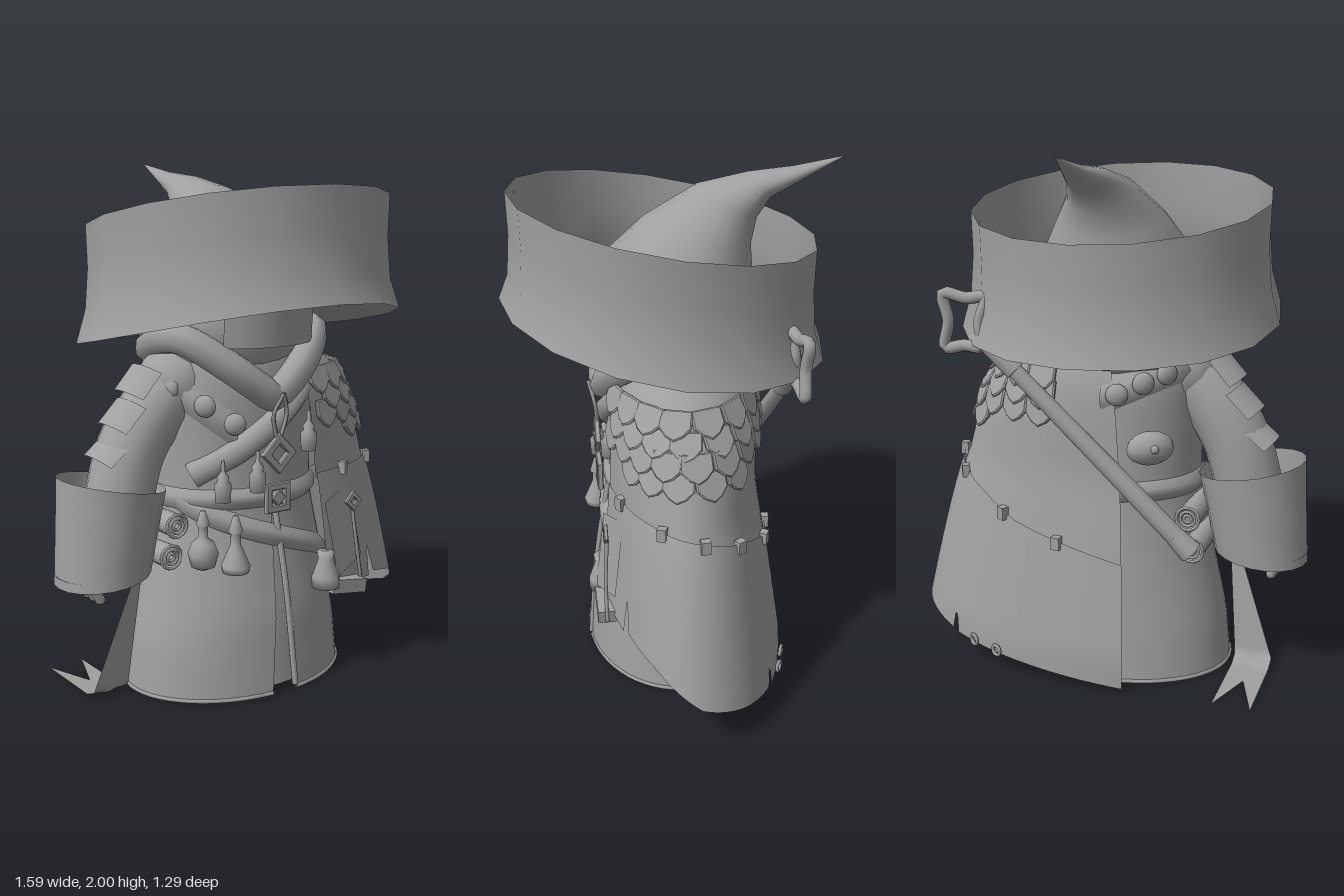
import * as THREE from 'three';

const cloth = new THREE.MeshStandardMaterial({ color: 0xa0a0a0, side: THREE.DoubleSide });
cloth.name = 'grey';
const V = (x, y, z) => new THREE.Vector3(x, y, z);
const rad = THREE.MathUtils.degToRad;

// linear lookup in a table of [key, value] pairs with rising keys
function look(table, k) {
  for (let i = 1; i < table.length; i++) {
    const [a, b] = [table[i - 1], table[i]];
    if (k <= b[0]) return THREE.MathUtils.lerp(a[1], b[1], Math.max(0, (k - a[0]) / (b[0] - a[0])));
  }
  return table[table.length - 1][1];
}

// smooth sheet through f(u, v), optionally joined around u
function sheet(nu, nv, f, closed = false) {
  const pos = [], idx = [], cols = closed ? nu : nu + 1;
  for (let j = 0; j <= nv; j++) for (let i = 0; i < cols; i++) pos.push(...f(i / nu, j / nv).toArray());
  for (let j = 0; j < nv; j++) for (let i = 0; i < nu; i++) {
    const a = j * cols + i, b = j * cols + (i + 1) % cols;
    idx.push(a, a + cols, b, b, a + cols, b + cols);
  }
  const g = new THREE.BufferGeometry();
  g.setAttribute('position', new THREE.Float32BufferAttribute(pos, 3));
  g.setIndex(idx);
  g.computeVertexNormals();
  return g;
}

const tube = (pts, r, closed = false, n = 24, sides = 8) =>
  new THREE.TubeGeometry(new THREE.CatmullRomCurve3(pts.map(p => V(...p)), closed), n, r, sides, closed);
const lathe = (pts, n = 12) => new THREE.LatheGeometry(pts.map(p => new THREE.Vector2(...p)), n);
function plate(pts, depth, bevel = 0, hole) {
  const s = new THREE.Shape(pts.map(p => new THREE.Vector2(...p)));
  if (hole) s.holes.push(new THREE.Path(hole.map(p => new THREE.Vector2(...p))));
  return new THREE.ExtrudeGeometry(s, { depth, bevelEnabled: bevel > 0, bevelSize: bevel, bevelThickness: bevel, bevelSegments: 1 });
}
const square = s => [[-s, -s], [s, -s], [s, s], [-s, s]];

// robe: half widths by height, centred on x = -0.03
const CX = -0.03;
const robeX = [[0, 0.465], [0.2, 0.445], [0.4, 0.4], [0.75, 0.33], [1.2, 0.34], [1.3, 0.3], [1.42, 0.16]];
const robeF = [[0, 0.355], [0.3, 0.335], [0.7, 0.26], [1.15, 0.25], [1.3, 0.22], [1.42, 0.14]];
const robeB = [[0, 0.34], [0.3, 0.32], [0.7, 0.295], [1.15, 0.29], [1.3, 0.24], [1.42, 0.14]];
function robeAt(a, y, off = 0) {
  const c = Math.cos(a), rz = look(c > 0 ? robeF : robeB, y);
  return V(CX + Math.sin(a) * (look(robeX, y) + off), y, c * (rz + off));
}
// point on the front of the robe above a given x
const frontAt = (x, y, off) => robeAt(Math.asin(THREE.MathUtils.clamp((x - CX) / look(robeX, y), -1, 1)), y, off);

// mantle over the left shoulder, and the skirt cape below it
const manX = [[0.5, 0.7], [0.7, 0.645], [0.8, 0.603], [0.9, 0.575], [1.05, 0.525], [1.2, 0.44], [1.34, 0.28]];
const manZ = [[0.5, 0.33], [0.8, 0.282], [1.1, 0.275], [1.2, 0.26], [1.34, 0.2]];
const mantleAt = (a, y, off = 0) => V(Math.sin(a) * (look(manX, y) + off), y,
  Math.cos(a) * (look(manZ, y) + off + (Math.cos(a) < 0 ? 0.03 : 0)));
const capeTop = [[0, 0.82], [60, 0.82], [95, 0.79], [125, 0.73], [140, 0.68], [155, 0.61], [193, 0.5]];
const capeLow = [[17, 0.37], [39, 0.34], [41, 0.47], [43, 0.35], [60, 0.31], [75, 0.25], [90, 0.19], [120, 0.13], [134, 0.1], [135.5, 0.2], [137, 0.09], [193, 0.02]];

export function createModel() {
  const root = new THREE.Group();
  const add = (name, geo, p, target) => {
    const m = new THREE.Mesh(geo, cloth);
    m.name = name;
    if (p) m.position.set(...(p.isVector3 ? p.toArray() : p));
    if (target) m.lookAt(target);
    root.add(m);
    return m;
  };

  // hat brim: wide bowl with an upright wall, lifted at the front, rim drooping at the sides
  const tilt = g => {
    const p = g.attributes.position;
    for (let i = 0; i < p.count; i++) {
      const droop = p.getY(i) < 1.45 ? 0.03 * (p.getX(i) / 0.6) ** 2 : 0;
      p.setY(i, p.getY(i) + 0.18 * p.getZ(i) - droop);
    }
    return g;
  };
  const hat = [CX, 0, 0.035];
  add('hatWall', tilt(lathe([[0.615, 1.4], [0.578, 1.5], [0.566, 1.65], [0.57, 1.81]], 16)), hat);
  add('hatBrim', tilt(lathe([[0.28, 1.51], [0.42, 1.48], [0.615, 1.4]], 16)), hat);
  add('hatBand', tilt(new THREE.TorusGeometry(0.335, 0.038, 8, 24).rotateX(Math.PI / 2).scale(1, 1, 0.92).translate(0, 1.53, 0)), [CX, 0, 0]);

  // crown: rings [frontZ, frontY, backZ, backY, halfWidth] bending to the back
  const crown = [[0.28, 1.5, -0.31, 1.43, 0.3], [0.25, 1.66, -0.3, 1.58, 0.285], [0.11, 1.79, -0.29, 1.7, 0.21],
    [-0.09, 1.91, -0.31, 1.79, 0.13], [-0.28, 1.95, -0.36, 1.86, 0.085], [-0.45, 1.967, -0.46, 1.91, 0.048], [-0.635, 2, -0.635, 1.998, 0.002]];
  add('hatCrown', sheet(20, 6, (u, v) => {
    const [fz, fy, bz, by, w] = crown[Math.round(v * 6)], c = Math.cos(u * 2 * Math.PI);
    return V(CX + w * Math.sin(u * 2 * Math.PI), (fy + by) / 2 + c * (fy - by) / 2, (fz + bz) / 2 + c * (fz - bz) / 2);
  }, true));

  // hood, face cloth and cowl
  add('hood', new THREE.SphereGeometry(1, 24, 16).scale(0.33, 0.27, 0.3), [-0.05, 1.38, -0.04]);
  add('faceCloth', sheet(8, 2, (u, v) => {
    const a = (u - 0.5) * 1.5;
    return V(CX + 0.3 * Math.sin(a), 1.33 + 0.2 * v, 0.03 + (0.28 + 0.02 * v) * Math.cos(a));
  }));
  add('cowl', tube([[CX, 1.14, 0.265], [0.02, 1.17, 0.265], [0.14, 1.26, 0.23], [0.27, 1.36, 0.12], [0.29, 1.35, 0], [0.23, 1.29, -0.17], [CX, 1.27, -0.25],
    [-0.29, 1.29, -0.17], [-0.35, 1.35, 0], [-0.33, 1.36, 0.12], [-0.2, 1.26, 0.23], [-0.08, 1.17, 0.265]], 0.06, true, 64));

  // robe with a front slit, and a lining inside
  add('robe', sheet(48, 24, (u, v) => {
    const y = 1.42 * v, gap = y < 0.75 ? rad(7 * (1 - y / 0.75)) : 0;
    return robeAt(gap + u * (2 * Math.PI - 2 * gap), y);
  }));
  add('robeLining', sheet(32, 8, (u, v) => robeAt(u * 2 * Math.PI, 0.02 + 0.8 * v, -0.035), true));
  add('robeHem', tube(Array.from({ length: 25 }, (_, i) => robeAt(rad(7 + i * 346 / 24), 0.008).toArray()), 0.008, false, 60, 5));
  const onFront = (name, pts, r, off) => add(name, tube(pts.map(p => frontAt(p[0], p[1], off).toArray()), r, false, 24, 8));
  onFront('robeFold', [[0.26, 1.28], [0.1, 1.13], [-0.13, 0.97], [-0.31, 0.85]], 0.05, 0);
  onFront('robeEdge', [[-0.02, 0.74], [0.0, 0.4], [0.02, 0.02]], 0.012, 0);

  // belts and chest strap
  const strap = (name, path, h) => add(name, sheet(40, 3, (u, v) => {
    const [a, y] = path(u);
    return robeAt(a, y + h * (v - 0.5), v === 0 || v === 1 ? 0 : 0.022);
  }));
  strap('belt', u => [u * 2 * Math.PI, 0.76], 0.08);
  strap('hangingBelt', u => [rad(-70 + 125 * u), 0.76 - 0.27 * u], 0.085);
  strap('chestStrap', u => [rad(-175 + 150 * u), 1.12 + 0.16 * Math.sin(u * Math.PI) - 0.1 * u], 0.13);
  const out = (p, name, geo, spin = 0) => {
    const m = add(name, geo, p, V(CX + (p.x - CX) * 3, p.y, p.z * 3));
    m.rotateZ(spin);
    return m;
  };
  out(frontAt(CX, 0.76, 0.03), 'buckle', plate(square(0.052), 0.015, 0.004, square(0.034)));
  out(frontAt(CX, 0.76, 0.03), 'buckleHeart', plate(square(0.02), 0.015, 0.004), Math.PI / 4);
  out(frontAt(CX, 0.93, 0.04), 'brooch', plate(square(0.052), 0.015, 0.004, square(0.03)), Math.PI / 4);
  [-1, 1].forEach(s => add('broochCord', tube([[CX, 1.16, 0.33], [CX + 0.03 * s, 1.08, 0.31], [CX + 0.01 * s, 0.99, 0.3]], 0.008, false, 12, 5)));
  const medallion = new THREE.SphereGeometry(0.042, 14, 8).scale(1, 1, 0.6);
  [[-0.35, 1.18], [-0.27, 1.12], [-0.18, 1.05]].forEach(([x, y]) => out(frontAt(x, y, 0.025), 'medallion', medallion));
  [[-165, 1.14], [-150, 1.18], [-135, 1.21]].forEach(([d, y]) => out(robeAt(rad(d), y, 0.025), 'backMedallion', medallion));

  // charms and flasks hanging from the belts
  const charm = lathe([[0, -0.07], [0.03, -0.065], [0.033, 0], [0.02, 0.015], [0.024, 0.03], [0.008, 0.05], [0.006, 0.09], [0, 0.09]], 10);
  [[0.12, 0.98], [-0.22, 0.83], [-0.11, 0.86]].forEach(([x, y]) => add('charm', charm, frontAt(x, y, 0.045)));
  add('roundFlask', lathe([[0, -0.07], [0.045, -0.05], [0.058, 0], [0.042, 0.04], [0.018, 0.06], [0.018, 0.1], [0.026, 0.11], [0.01, 0.16], [0, 0.16]], 14), frontAt(-0.29, 0.58, 0.05));
  add('coneFlask', lathe([[0, -0.07], [0.05, -0.065], [0.055, -0.04], [0.02, 0.04], [0.018, 0.08], [0.028, 0.09], [0.01, 0.15], [0, 0.15]], 14), frontAt(-0.2, 0.57, 0.05));

  // rolled scrolls along the right hip, curled at both ends
  [[-0.38, 0.67, -0.05], [-0.4, 0.55, -0.06]].forEach(([x, y, z]) => {
    add('scroll', new THREE.CylinderGeometry(0.044, 0.044, 0.38, 14, 1, true).rotateX(Math.PI / 2), [x, y, z]);
    [-0.19, 0.19].forEach(e => [0.044, 0.028, 0.014].forEach(r =>
      add('scrollCurl', new THREE.TorusGeometry(r, 0.006, 6, 14), [x, y, z + e])));
  });
  // pouches and book
  out(robeAt(rad(-145), 0.94, 0.035), 'backPouch', new THREE.SphereGeometry(0.085, 12, 8).scale(1.1, 0.75, 0.65));
  out(robeAt(rad(-145), 0.95, 0.09), 'pouchClasp', new THREE.SphereGeometry(0.016, 8, 6));
  add('frontPouch', lathe([[0, -0.07], [0.055, -0.065], [0.055, -0.02], [0.03, 0.05], [0.035, 0.08], [0, 0.08]], 12), [0.2, 0.43, 0.31]);
  const book = add('book', new THREE.BoxGeometry(0.17, 0.055, 0.07), [0.3, 0.355, 0.31]);
  book.rotation.z = -0.15;

  // left shoulder mantle
  const A0 = 17, A1 = 193;
  add('mantle', sheet(48, 12, (u, v) => {
    const d = A0 + (A1 - A0) * u, y0 = look(capeTop, d) - 0.02;
    return mantleAt(rad(d), y0 + (1.34 - y0) * v);
  }));
  // overlapping scales
  const scale = plate([[-0.054, 0.045], [-0.056, -0.012], [-0.03, -0.042], [0, -0.058], [0.03, -0.042], [0.056, -0.012], [0.054, 0.045]], 0.006, 0.005);
  for (let row = 0; row < 4; row++) {
    const y = 1.185 - 0.066 * row;
    let a = rad(26);
    for (let n = 0; a < rad(167); n++) {
      const p = mantleAt(a, y, 0.01), q = mantleAt(a + 0.01, y, 0.01), d = mantleAt(a, y - 0.03, 0.01);
      const normal = d.sub(p).cross(q.clone().sub(p)).normalize();
      const step = 0.115 / (q.distanceTo(p) / 0.01), shift = n === 0 && row % 2;
      if (!shift && row <= 1.4 + 2.3 * Math.sin(a)) add('scale', scale, p, p.clone().add(normal)).rotateX(-0.12);
      a += shift ? step / 2 : step;
    }
  }

  // skirt cape with a torn lower edge
  const capeAt = (d, v, off = 0) => {
    const top = look(capeTop, d), low = look(capeLow, d), a = rad(d), y = top + (low - top) * v;
    const f = THREE.MathUtils.clamp((0.82 - y) / 0.62, 0, 1.1), c = Math.cos(a);
    return V(Math.sin(a) * (0.607 + 0.185 * Math.pow(f, 0.8) + off), y, c * (0.287 + (c > 0 ? 0.055 * f : 0.03 + 0.095 * f) + off));
  };
  add('cape', sheet(176, 10, (u, v) => capeAt(A0 + (A1 - A0) * u, v)));
  const around = (p, name, geo) => add(name, geo, p, V(p.x * 2, p.y, p.z * 3));
  [33, 66, 95, 120, 150, 172].forEach(d => around(capeAt(d, 0.01, 0.004), 'capeClip', new THREE.BoxGeometry(0.035, 0.05, 0.03)));
  [146, 155].forEach(d => around(capeAt(d, 0.97, 0.01), 'hemRing', new THREE.TorusGeometry(0.02, 0.007, 6, 12)));
  // front strip of the cape with its pendant
  add('capeStrip', sheet(4, 6, (u, v) => V(0.2 + 0.04 * v + 0.17 * u, 0.7 - 0.3 * v + 0.05 * u, 0.3 + 0.04 * v - 0.06 * u)));
  const pend = add('capePendant', plate(square(0.027), 0.01, 0.003, square(0.014)), [0.34, 0.69, 0.3]);
  pend.rotation.z = Math.PI / 4;
  add('pendantCord', tube([[0.34, 0.66, 0.3], [0.36, 0.5, 0.31], [0.39, 0.33, 0.31]], 0.008, false, 12, 5));

  // right arm: sleeve, plates, wide cuff, hand
  add('sleeve', tube([[-0.24, 1.2, 0], [-0.37, 1.11, 0], [-0.49, 0.95, 0], [-0.57, 0.68, 0.01]], 0.13, false, 20, 14));
  add('shoulder', new THREE.SphereGeometry(0.15, 14, 10), [-0.29, 1.18, 0]);
  [[-0.46, 1.2, 0.7], [-0.53, 1.08, 0.75], [-0.59, 0.96, 0.85]].forEach(([x, y, lean]) => {
    const m = add('armPlate', sheet(8, 2, (u, v) => {
      const a = (u - 0.5) * 2.1;
      return V(-0.09 * Math.cos(a) + 0.06 - 0.015 * (1 - v), 0.12 * (v - 0.5), 0.12 * Math.sin(a));
    }), [x, y, 0]);
    m.rotation.z = -lean + 0.1;
  });
  add('cuff', sheet(20, 5, (u, v) => {
    const a = u * 2 * Math.PI, r = 0.18 + 0.022 * v;
    return V(-0.615 + 0.045 * v + r * Math.sin(a), 0.485 + 0.35 * v - 0.035 * Math.sin(a) * (2 * v - 1) * (v > 0.5 ? 1 : 0.5), -0.01 + (r + 0.005) * Math.cos(a));
  }, true));
  add('cuffBase', new THREE.CircleGeometry(0.18, 20).rotateX(-Math.PI / 2), [-0.615, 0.505, -0.01]);
  add('hand', new THREE.SphereGeometry(0.075, 12, 8).scale(1, 0.7, 1), [-0.64, 0.49, 0]);
  for (let i = 0; i < 4; i++)
    add('finger', new THREE.CapsuleGeometry(0.02, 0.05, 3, 8).rotateZ(0.5), [-0.68, 0.445, -0.07 + 0.045 * i]);

  // ribbon hanging from the right hip, its forked tails trailing backwards on the ground
  const ribbonY = [[0, 0.5], [0.65, 0.03], [0.7, 0.008], [1, 0.005]];
  const ribbonZ = [[0, 0.05], [0.65, 0.0], [1, -0.38]];
  [-1, 1].forEach(s => add('ribbon', sheet(3, 20, (u, v) => {
    const k = Math.min(1, v / 0.65), notch = v > 0.65 ? (v - 0.65) * 0.55 * (1 - u) : 0;
    return V(-0.49 - 0.105 * k + s * u * (0.012 + 0.062 * k), look(ribbonY, v), look(ribbonZ, v - notch));
  })));

  // sheathed blade across the back with a square loop handle
  const [top, end] = [V(0.36, 1.33, -0.385), V(-0.41, 0.56, -0.29)];
  const rod = (name, a, b, r0, r1) => {
    const m = add(name, new THREE.CylinderGeometry(r1, r0, a.distanceTo(b), 10), a.clone().lerp(b, 0.5));
    m.quaternion.setFromUnitVectors(V(0, 1, 0), b.clone().sub(a).normalize());
  };
  rod('sheath', top, end, 0.028, 0.038);
  rod('sheathCollar', top, top.clone().lerp(end, 0.15), 0.038, 0.038);
  rod('sheathTip', end.clone().lerp(top, 0.08), end, 0.038, 0.045);
  add('handleLoop', tube([[0.37, 1.3, -0.385], [0.38, 1.39, -0.38], [0.36, 1.48, -0.365], [0.43, 1.475, -0.38], [0.515, 1.49, -0.395],
    [0.5, 1.39, -0.39], [0.515, 1.29, -0.39], [0.44, 1.3, -0.385]], 0.023, true, 40));
  return root;
}
